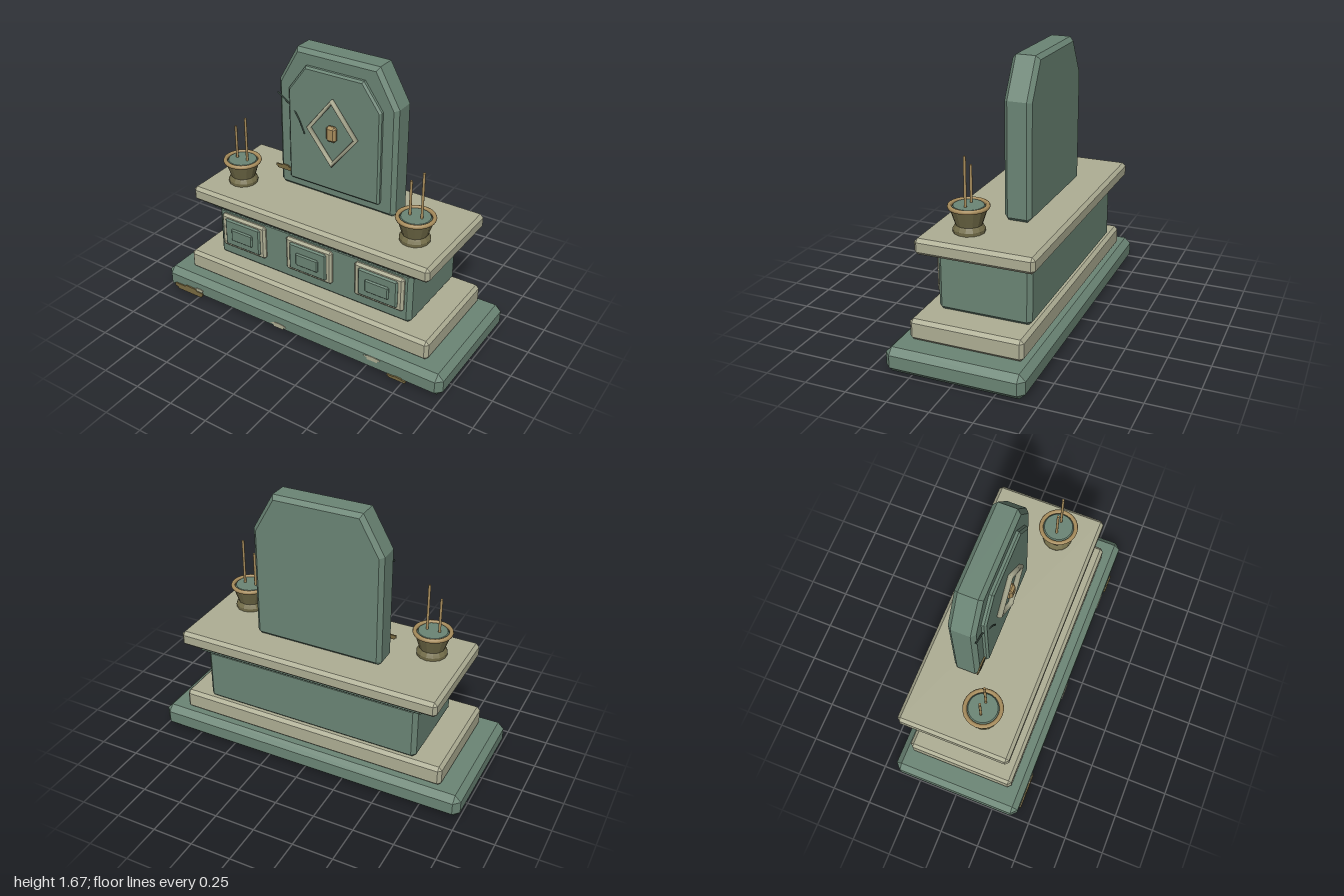
import * as THREE from 'three';
import { ConvexGeometry } from 'three/addons/geometries/ConvexGeometry.js';

const paint = (name, color) => {
  const m = new THREE.MeshStandardMaterial({ color });
  m.name = name;
  return m;
};

export function createModel() {
  const root = new THREE.Group();
  root.name = 'memorial';
  const green = paint('green stone', 0x6b8575);
  const pale = paint('pale stone', 0xaeae94);
  const bronze = paint('bronze', 0xa88d5c);
  const olive = paint('olive clay', 0x736d49);
  const moss = paint('moss', 0x7a6b42);
  const dark = paint('dark crack', 0x3a4a41);
  olive.side = THREE.DoubleSide;

  const add = (name, geo, mat, parent = root) => {
    const m = new THREE.Mesh(geo, mat);
    m.name = name;
    parent.add(m);
    return m;
  };

  // Box with every edge cut at 45 degrees, given by its limits
  const block = (name, mat, [x0, x1], [y0, y1], [z0, z1], c, parent) => {
    const h = [(x1 - x0) / 2, (y1 - y0) / 2, (z1 - z0) / 2];
    const pts = [];
    for (const sx of [-1, 1]) for (const sy of [-1, 1]) for (const sz of [-1, 1])
      for (let k = 0; k < 3; k++) {
        const [a, b, d] = h.map((v, i) => (i === k ? v : v - c));
        pts.push(new THREE.Vector3(sx * a, sy * b, sz * d));
      }
    const m = add(name, new ConvexGeometry(pts), mat, parent);
    m.position.set((x0 + x1) / 2, (y0 + y1) / 2, (z0 + z1) / 2);
    return m;
  };

  // Flat outline extruded between z0 and z1 with a bevel kept inside the outline
  const slab = (name, mat, pts, z0, z1, c = 0) => {
    const shape = new THREE.Shape(pts.map(p => new THREE.Vector2(...p)));
    const geo = new THREE.ExtrudeGeometry(shape, {
      depth: z1 - z0 - 2 * c, bevelEnabled: c > 0, bevelSegments: 1,
      bevelSize: c, bevelThickness: c, bevelOffset: -c,
    });
    geo.translate(0, 0, z0 + c);
    return add(name, geo, mat);
  };
  const mirrored = half => [...half, ...half.map(([x, y]) => [-x, y]).reverse()];

  // Stepped base
  block('plinth', green, [-1, 1], [0, 0.15], [-0.42, 0.41], 0.037);
  block('step', pale, [-0.86, 0.86], [0.15, 0.278], [-0.36, 0.32], 0.02);
  block('body', green, [-0.69, 0.69], [0.275, 0.625], [-0.34, 0.222], 0.025);
  block('moulding', green, [-0.725, 0.725], [0.617, 0.657], [-0.365, 0.243], 0.01);
  block('tableTop', pale, [-0.825, 0.825], [0.655, 0.75], [-0.41, 0.293], 0.02);

  // Three stacked panels on the front of the body
  for (const x of [-0.485, 0, 0.485]) {
    const g = new THREE.Group();
    g.name = 'frontPanel';
    g.position.x = x;
    root.add(g);
    block('panelFrame', pale, [-0.165, 0.165], [0.36, 0.59], [0.2, 0.245], 0.014, g);
    block('panelField', green, [-0.132, 0.132], [0.382, 0.568], [0.22, 0.256], 0.01, g);
    block('panelBoss', green, [-0.08, 0.08], [0.427, 0.513], [0.24, 0.266], 0.008, g);
  }

  // Headstone and its raised face
  slab('headstone', green, mirrored(
    [[0.385, 0.752], [0.405, 0.772], [0.405, 1.445], [0.275, 1.675]]), -0.22, -0.058, 0.024);
  slab('headstonePanel', green, mirrored(
    [[0.305, 0.825], [0.315, 0.835], [0.315, 1.42], [0.195, 1.585]]), -0.07, -0.03, 0.012);

  // Diamond ornament
  const diamond = add('diamondFrame', new THREE.TorusGeometry(0.161, 0.014, 8, 4), pale);
  diamond.scale.set(1, 1.26, 1.2);
  diamond.position.set(0, 1.215, -0.017);
  block('diamondBoss', bronze, [-0.034, 0.034], [1.165, 1.265], [-0.035, 0.006], 0.015);

  // Crack across the headstone
  const crackPath = new THREE.CatmullRomCurve3([
    [-0.407, 1.365, -0.056], [-0.32, 1.31, -0.052], [-0.262, 1.278, -0.029],
    [-0.235, 1.235, -0.028], [-0.2, 1.155, -0.028],
  ].map(p => new THREE.Vector3(...p)), false, 'catmullrom', 0.05);
  add('crack', new THREE.TubeGeometry(crackPath, 20, 0.006, 4), dark);

  // Incense pots
  for (const x of [-0.61, 0.61]) {
    const pot = new THREE.Group();
    pot.name = 'incensePot';
    pot.position.set(x, 0.745, 0.057);
    root.add(pot);
    const profile = [[0, 0], [0.09, 0], [0.092, 0.025], [0.083, 0.04], [0.076, 0.05],
      [0.107, 0.145], [0.11, 0.155]].map(p => new THREE.Vector2(...p));
    const bowl = new THREE.LatheGeometry(profile, 14).toNonIndexed();
    bowl.computeVertexNormals();
    add('potBowl', bowl, olive, pot);
    const rim = add('potRim', new THREE.TorusGeometry(0.106, 0.013, 8, 24), bronze, pot);
    rim.rotation.x = Math.PI / 2;
    rim.position.y = 0.153;
    const fill = add('potFill', new THREE.CylinderGeometry(0.086, 0.098, 0.02, 24), green, pot);
    fill.position.y = 0.149;
    for (const [dx, top] of [[-0.038, 0.375], [0.038, 0.447]]) {
      const stick = add('incenseStick', new THREE.CylinderGeometry(0.008, 0.008, top - 0.14, 8), bronze, pot);
      stick.position.set(dx, (top + 0.14) / 2, 0.002);
    }
  }

  // Worn chips on the plinth front
  for (const [x, y, w, h] of [[-0.11, 0.033, 0.115, 0.034], [0.555, 0.083, 0.115, 0.03], [-0.735, 0.05, 0.07, 0.025]]) {
    const chip = [[-0.3, 0], [0.3, 0.03], [0.36, 0.5], [0.5, 0.55], [0.4, 0.85],
      [0.1, 1], [-0.25, 0.95], [-0.5, 0.6], [-0.3, 0.4]];
    slab('chip', pale, chip.map(([a, b]) => [x + a * w, y + b * h]), 0.407, 0.414);
  }

  // Moss patches on the plinth and the headstone foot
  for (const [x, y, w, h, z] of [[-0.818, 0.018, 0.225, 0.048, 0.411],
    [0.722, 0.024, 0.125, 0.022, 0.411], [-0.37, 0.853, 0.12, 0.034, -0.058]]) {
    const patch = [[-0.4, 0], [0.46, 0], [0.46, 0.25], [0.5, 0.3], [0.5, 0.7], [0.28, 0.72],
      [0.26, 0.95], [-0.1, 1], [-0.12, 0.8], [-0.5, 0.75], [-0.5, 0.3], [-0.4, 0.25]];
    slab('moss', moss, patch.map(([a, b]) => [x + a * w, y + b * h]), z, z + 0.009);
  }
  return root;
}
